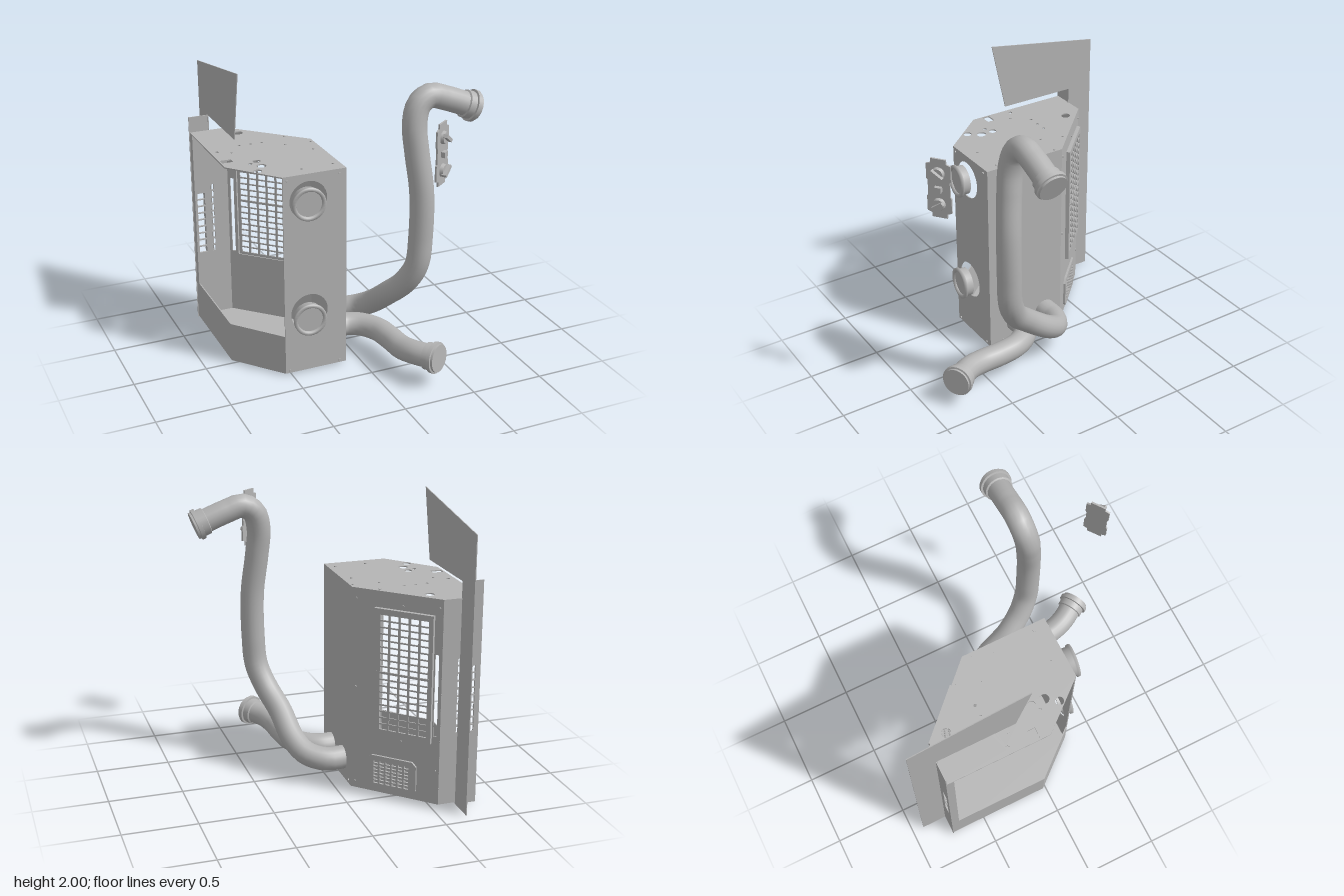
import * as THREE from 'three';

const metal = new THREE.MeshStandardMaterial({ color: 0xb4b4b4, side: THREE.DoubleSide });
metal.name = 'grey metal';
const face = new THREE.MeshStandardMaterial({ color: 0xb4b4b4 });
face.name = 'grey front face';

const T = 0.008; // sheet thickness

function add(parent, name, geometry, material = metal) {
  const mesh = new THREE.Mesh(geometry, material);
  mesh.name = name;
  parent.add(mesh);
  return mesh;
}

const polygon = pts => new THREE.Shape(pts.map(p => new THREE.Vector2(...p)));
const rect = (x0, y0, x1, y1) => [[x0, y0], [x1, y0], [x1, y1], [x0, y1]];
const rectHole = (...r) => polygon(rect(...r));
const roundHole = (x, y, r) => new THREE.Path().absarc(x, y, r, 0, Math.PI * 2, true);

function gridHoles(x0, y0, x1, y1, cols, rows, fill = 0.78) {
  const holes = [], w = (x1 - x0) / cols, h = (y1 - y0) / rows;
  for (let i = 0; i < cols; i++) for (let j = 0; j < rows; j++) {
    const x = x0 + i * w, y = y0 + j * h;
    holes.push(rectHole(x, y, x + w * fill, y + h * fill));
  }
  return holes;
}

function sheet(pts, holes = [], depth = T) {
  const shape = polygon(pts);
  shape.holes = holes;
  return new THREE.ExtrudeGeometry(shape, { depth, bevelEnabled: false, curveSegments: 16 });
}

// Upright sheet on the line a -> b (x, z); outline and holes are in (distance from a, y)
function wall(parent, name, a, b, pts, holes, depth = T, offset = -T) {
  const dx = b[0] - a[0], dz = b[1] - a[1], l = Math.hypot(dx, dz);
  const mesh = add(parent, name, sheet(pts, holes, depth));
  mesh.position.set(a[0] - dz / l * offset, 0, a[1] + dx / l * offset);
  mesh.rotation.y = Math.atan2(-dz, dx);
  return mesh;
}

// Small screw heads along a wall
function screws(parent, a, b, spots) {
  const dx = b[0] - a[0], dz = b[1] - a[1], l = Math.hypot(dx, dz);
  for (const [u, y] of spots) {
    const s = add(parent, 'screw', new THREE.CylinderGeometry(0.008, 0.008, 0.008, 8).rotateX(Math.PI / 2));
    s.position.set(a[0] + dx / l * u - dz / l * 0.003, y, a[1] + dz / l * u + dx / l * 0.003);
    s.rotation.y = Math.atan2(-dz, dx);
  }
}

function buildCabinet() {
  const g = new THREE.Group();
  g.name = 'cabinet';
  const P = { fl: [-0.54, 0.3], fr: [-0.1, 0.3], r: [-0.1, -0.29], br: [-0.55, -0.74], bl: [-0.81, -0.74], l: [-0.81, -0.02] };
  const H = 1.42, Y = 0.012, chamfer = 0.636;

  wall(g, 'frontPanel', P.fl, P.fr, rect(0, Y, 0.44, H), [roundHole(0.175, 1.24, 0.13), roundHole(0.175, 0.44, 0.13)]);
  wall(g, 'rightPanel', P.fr, P.r, rect(0, Y, 0.59, H), []);
  wall(g, 'ventPanel', P.r, P.br, rect(0, Y, chamfer, H), [rectHole(0.205, 0.47, 0.566, 1.29), rectHole(0.588, 0.49, 0.614, 1.05)]);
  wall(g, 'backPanel', P.br, P.bl, rect(0, Y, 0.26, H),
    [...gridHoles(0.175, 0.51, 0.24, 0.97, 1, 9, 0.85), ...gridHoles(0.11, 0.51, 0.14, 1.03, 1, 10)]);
  wall(g, 'leftLip', P.bl, P.l, [[0, Y], [0.72, Y], [0.72, 0.29], [0.05, 0.29], [0.05, H], [0, H]], []);
  wall(g, 'cornerLip', P.l, P.fl, rect(0, Y, 0.419, 0.29), []);

  // Tall grille and small lower grille
  wall(g, 'tallGrille', P.r, P.br, rect(0.17, 0.44, 0.58, 1.31), gridHoles(0.215, 0.48, 0.565, 1.28, 5, 18), 0.008, 0.018);
  wall(g, 'tallGrilleFrame', P.r, P.br, rect(0.17, 0.44, 0.58, 1.31), [rectHole(0.19, 0.46, 0.57, 1.295)], 0.02, 0);
  wall(g, 'grilleMiddleBar', P.r, P.br, rect(0.19, 0.87, 0.57, 0.885), [], 0.01, 0.018);
  const c = 0.03;
  wall(g, 'lowerGrille', P.r, P.br,
    [[0.127 + c, 0.05], [0.48 - c, 0.05], [0.48, 0.05 + c], [0.48, 0.28 - c], [0.48 - c, 0.28], [0.127 + c, 0.28], [0.127, 0.28 - c], [0.127, 0.05 + c]],
    gridHoles(0.175, 0.08, 0.44, 0.25, 6, 7, 0.7), 0.015, 0);

  // Roof and floor, drawn with y = -z
  const plan = Object.values(P).map(([x, z]) => [x, -z]);
  const roofHoles = [[-0.51, 0.6, 0.032], [-0.585, -0.05, 0.032], [-0.585, 0.04, 0.026], [-0.64, 0.01, 0.015],
    [-0.765, 0.3, 0.013], [-0.59, 0.36, 0.01], [-0.51, 0.36, 0.01], [-0.43, 0.36, 0.01], [-0.64, -0.13, 0.028]].map(h => roundHole(...h));
  roofHoles.push(rectHole(-0.8, 0.09, -0.725, 0.14));
  const roof = add(g, 'roof', sheet(plan, roofHoles));
  const floor = add(g, 'floor', sheet(plan));
  roof.rotation.x = floor.rotation.x = -Math.PI / 2;
  roof.position.y = H - T;
  floor.position.y = Y;
  for (const [x, z] of [[-0.15, 0.2], [-0.16, -0.1], [-0.3, -0.25], [-0.25, -0.4], [-0.37, 0.21], [-0.68, -0.25], [-0.12, -0.24]])
    add(g, 'roofScrew', new THREE.CylinderGeometry(0.009, 0.009, 0.012, 8)).position.set(x, H, z);
  for (const [x, z] of [[-0.45, 0.25], [-0.18, 0.25], [-0.18, -0.25], [-0.7, -0.6]])
    add(g, 'foot', new THREE.CylinderGeometry(0.018, 0.018, Y, 10)).position.set(x, Y / 2, z);

  screws(g, P.fl, P.fr, [[0.03, 1.39], [0.39, 1.39], [0.03, 0.03], [0.39, 0.03]]);
  screws(g, P.fr, P.r, [[0.1, 0.04], [0.3, 0.04], [0.55, 0.04]]);
  screws(g, P.r, P.br, [[0.03, 1.35], [0.36, 1.34], [0.36, 0.41], [0.61, 1.36], [0.03, 0.74], [0.61, 0.25], [0.03, 0.06]]);
  return g;
}

// Round air outlet standing in a front opening, faintly turned
function buildOutlet(y) {
  const g = new THREE.Group();
  g.name = 'airOutlet';
  const profile = [[0.085, -0.035], [0.1, -0.035], [0.1, 0.01], [0.112, 0.015], [0.112, 0.033], [0.09, 0.035], [0.085, 0.015], [0.085, -0.035]];
  add(g, 'outletRing', new THREE.LatheGeometry(profile.map(p => new THREE.Vector2(...p)), 32).rotateX(Math.PI / 2));
  add(g, 'outletFace', new THREE.CircleGeometry(0.086, 32), face).position.z = 0.02;
  g.position.set(-0.385, y, 0.345);
  g.rotation.set(0, -0.09, 0);
  return g;
}

// Bent hose with a collared cap on its far end
function buildHose(name, pts) {
  const g = new THREE.Group();
  g.name = name;
  const curve = new THREE.CatmullRomCurve3(pts.map(p => new THREE.Vector3(...p)), false, 'centripetal');
  add(g, 'hoseTube', new THREE.TubeGeometry(curve, 64, 0.081, 18));
  const cap = new THREE.Group();
  cap.name = 'hoseCap';
  const profile = [[0.081, -0.06], [0.092, -0.055], [0.092, -0.01], [0.106, -0.008], [0.106, 0.018], [0.094, 0.02], [0.094, 0.035], [0, 0.035]];
  const steps = profile.map(p => new THREE.Vector2(...p));
  for (let i = 0; i < steps.length - 1; i++) add(cap, 'capStep', new THREE.LatheGeometry([steps[i], steps[i + 1]], 32));
  cap.position.copy(curve.getPoint(1));
  cap.quaternion.setFromUnitVectors(new THREE.Vector3(0, 1, 0), curve.getTangent(1));
  g.add(cap);
  return g;
}

function buildControls() {
  const g = new THREE.Group();
  g.name = 'controlPanel';
  const half = [[0.05, -0.2], [0.05, -0.17], [0.08, -0.16], [0.08, -0.06], [0.072, -0.05], [0.072, 0.05], [0.08, 0.06], [0.08, 0.16], [0.05, 0.17], [0.05, 0.2]];
  const outline = [...half, ...half.map(([x, y]) => [-x, y]).reverse()];
  add(g, 'controlPlate', sheet(outline, [], 0.012));
  for (const y of [-0.105, 0.105]) {
    const knob = new THREE.Group();
    knob.name = 'knob';
    add(knob, 'knobBase', new THREE.CylinderGeometry(0.036, 0.042, 0.022, 20).rotateX(Math.PI / 2)).position.z = 0.022;
    add(knob, 'knobGrip', new THREE.BoxGeometry(0.085, 0.022, 0.03)).position.z = 0.042;
    knob.position.y = y;
    knob.rotation.z = y < 0 ? 0.6 : -0.6;
    g.add(knob);
  }
  add(g, 'switch', new THREE.BoxGeometry(0.045, 0.035, 0.03)).position.z = 0.022;
  g.position.set(0.275, 1.65, 0.858);
  g.rotation.y = Math.atan2(0.6, 0.8);
  return g;
}

function buildBracket() {
  const g = new THREE.Group();
  g.name = 'mountingBracket';
  // Side plate in (−z, y)
  const plate = add(g, 'bracketPlate', sheet([[0.735, 0], [0.92, 0], [0.92, 1.87], [0.1, 2], [0.2, 1.53], [0.735, 1.53]], [], 0.006));
  plate.rotation.y = Math.PI / 2;
  plate.position.x = -0.678;
  wall(g, 'bracketFlange', [-0.675, -0.74], [-0.815, -0.74], rect(0, 0, 0.14, 1.53), gridHoles(0.05, 0.51, 0.115, 0.97, 1, 9, 0.85), 0.006, 0);
  return g;
}

export function createModel() {
  const model = new THREE.Group();
  model.name = 'heaterUnit';
  model.add(buildCabinet(), buildOutlet(1.24), buildOutlet(0.42), buildControls(), buildBracket());
  model.add(buildHose('tallHose', [[-0.09, 0.17, -0.15], [0.03, 0.17, -0.15], [0.15, 0.2, -0.08], [0.21, 0.27, 0.03], [0.25, 0.42, 0.22],
    [0.31, 0.55, 0.35], [0.36, 0.7, 0.42], [0.375, 0.9, 0.435], [0.375, 1.22, 0.435], [0.345, 1.5, 0.41], [0.335, 1.68, 0.39],
    [0.37, 1.8, 0.375], [0.45, 1.85, 0.37], [0.56, 1.82, 0.37], [0.75, 1.745, 0.375]]));
  model.add(buildHose('lowHose', [[-0.09, 0.17, 0.09], [0, 0.17, 0.09], [0.09, 0.17, 0.14], [0.16, 0.17, 0.25], [0.185, 0.17, 0.4],
    [0.195, 0.175, 0.55], [0.23, 0.19, 0.67], [0.31, 0.2, 0.8]]));
  return model;
}
